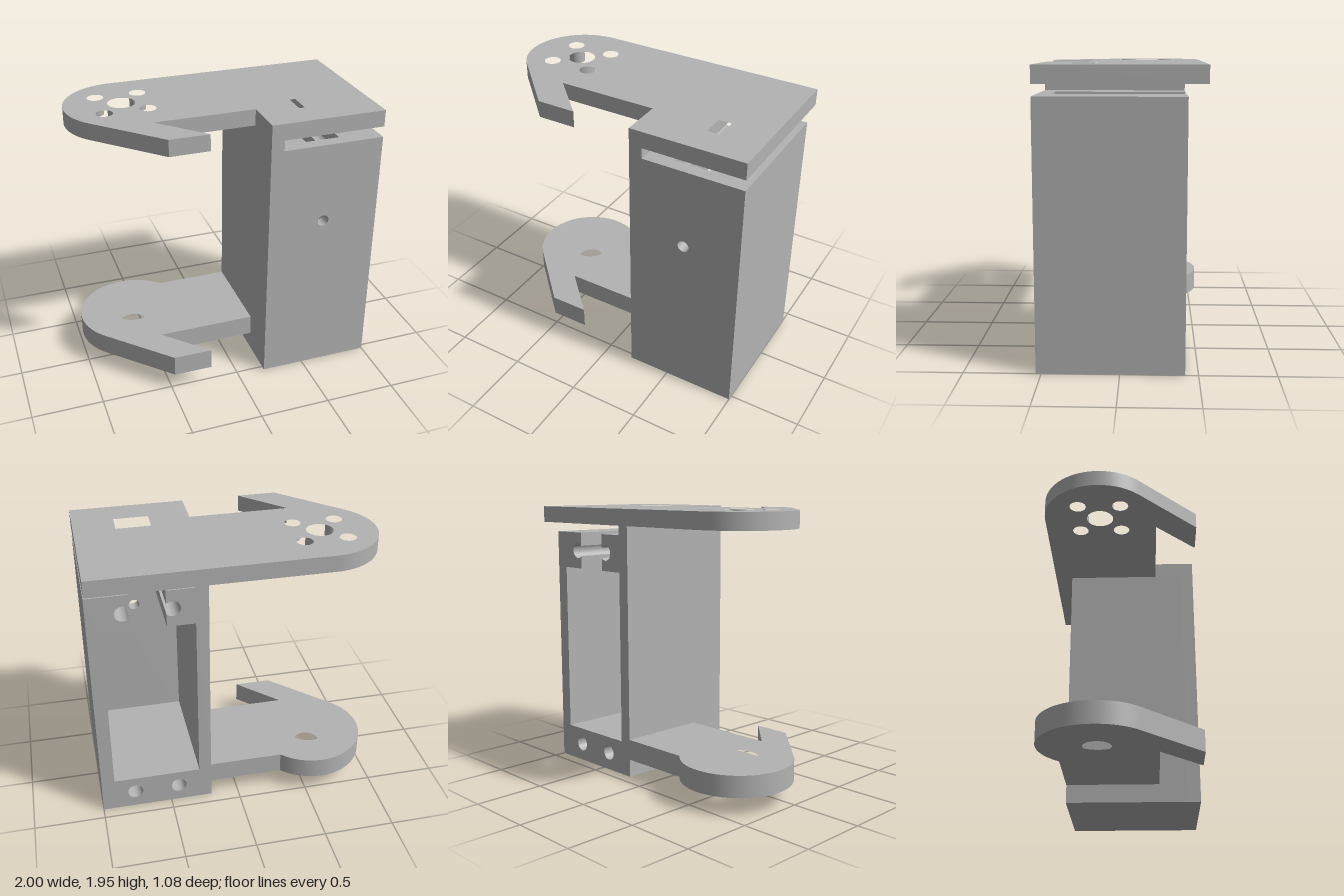
import * as THREE from 'three';
import { toCreasedNormals } from 'three/addons/utils/BufferGeometryUtils.js';

const PIVOT_X = -0.61, PIVOT_Z = -0.15, PIVOT_R = 0.39;
const BACK = -0.415, FRONT = 0.535, INNER_FRONT = 0.445;

function extrude(shape, depth) {
  const g = new THREE.ExtrudeGeometry(shape, { depth, bevelEnabled: false, curveSegments: 32 });
  return toCreasedNormals(g, 0.5);
}

function addHole(shape, x, y, r) {
  const hole = new THREE.Path();
  hole.absarc(x, y, r, 0, Math.PI * 2, true);
  shape.holes.push(hole);
}

// Rounded end and hook, drawn in x and z, shared by both arms
function hookOutline(startAngle) {
  const s = new THREE.Shape();
  s.absarc(PIVOT_X, PIVOT_Z, PIVOT_R, startAngle, Math.PI * 0.75, true);
  s.lineTo(-0.48, FRONT);
  s.lineTo(-0.21, FRONT);
  s.lineTo(-0.495, 0.245);
  s.lineTo(0.2, 0.245);
  return s;
}

export function createModel() {
  const group = new THREE.Group();
  const grey = new THREE.MeshStandardMaterial({ color: 0xb3b3b3 });
  grey.name = 'plain grey';

  const add = (name, geometry) => {
    const mesh = new THREE.Mesh(geometry, grey);
    mesh.name = name;
    group.add(mesh);
    return mesh;
  };
  // Horizontal plate from an x-z outline
  const addPlate = (name, shape, bottom, top) => {
    const g = extrude(shape, top - bottom);
    g.rotateX(Math.PI / 2);
    add(name, g).position.y = top;
  };

  // Housing: open at the back, cable notch and half-cut screw bores at the top
  const boreR = 0.055, boreY = 1.62, a = Math.acos(0.04 / boreR);
  const housing = new THREE.Shape();
  housing.moveTo(0.2, 0);
  housing.lineTo(1, 0);
  housing.lineTo(1, 1.755);
  housing.lineTo(0.72, 1.755);
  housing.absarc(0.76, boreY, boreR, Math.PI - a, a - Math.PI, true);
  housing.lineTo(0.72, 1.49);
  housing.lineTo(0.907, 1.49);
  housing.lineTo(0.907, 0.25);
  housing.lineTo(0.288, 0.25);
  housing.lineTo(0.288, 1.49);
  housing.lineTo(0.48, 1.49);
  housing.absarc(0.44, boreY, boreR, -a, a, true);
  housing.lineTo(0.48, 1.755);
  housing.lineTo(0.29, 1.755);
  housing.lineTo(0.29, 1.83);
  housing.lineTo(0.2, 1.83);
  housing.closePath();
  for (const x of [0.44, 0.76]) addHole(housing, x, 0.13, boreR);
  add('housing', extrude(housing, INNER_FRONT - BACK)).position.z = BACK;

  // Front wall with a small round hole
  const wall = new THREE.Shape([
    [0.2, 0], [1, 0], [1, 1.755], [0.29, 1.755], [0.29, 1.83], [0.2, 1.83],
  ].map(([x, y]) => new THREE.Vector2(x, y)));
  addHole(wall, 0.6, 1.19, 0.04);
  add('frontWall', extrude(wall, FRONT - INNER_FRONT)).position.z = INNER_FRONT;

  // Top plate with pivot hole, four screw holes and a cable window
  const top = hookOutline(-Math.PI / 2);
  top.lineTo(0.2, FRONT);
  top.lineTo(1, FRONT);
  top.lineTo(1, PIVOT_Z - PIVOT_R);
  top.closePath();
  addHole(top, PIVOT_X, PIVOT_Z, 0.093);
  for (const dx of [-1, 1])
    for (const dz of [-1, 1])
      addHole(top, PIVOT_X + dx * 0.147, PIVOT_Z + dz * 0.147, 0.056);
  top.holes.push(new THREE.Path([
    [0.477, 0.16], [0.477, 0.32], [0.717, 0.32], [0.717, 0.16],
  ].map(([x, z]) => new THREE.Vector2(x, z))));
  addPlate('topPlate', top, 1.83, 1.945);

  // Lower arm: a wide bearing seat above a thin lip with a smaller hole
  const layers = [['lowerArmLip', 0.093, 0.13, 0.16], ['lowerArm', 0.153, 0.16, 0.28]];
  for (const [name, r, y0, y1] of layers) {
    const arm = hookOutline(Math.asin((BACK - PIVOT_Z) / PIVOT_R));
    arm.lineTo(0.2, BACK);
    arm.closePath();
    addHole(arm, PIVOT_X, PIVOT_Z, r);
    addPlate(name, arm, y0, y1);
  }

  return group;
}
